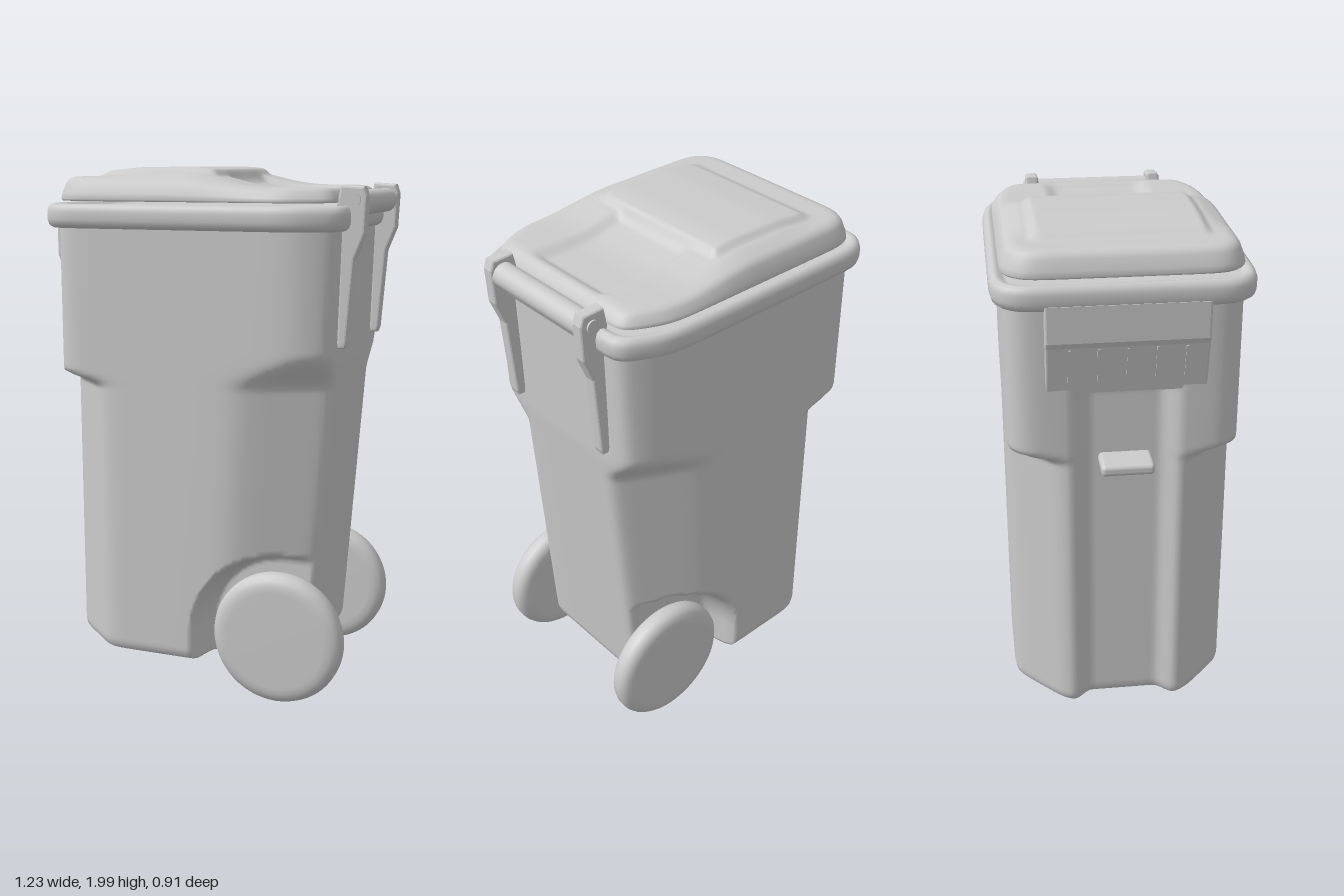
import * as THREE from 'three';
import { RoundedBoxGeometry } from 'three/addons/geometries/RoundedBoxGeometry.js';

const material = new THREE.MeshStandardMaterial({ color: 0xcccccc });
const { smoothstep, lerp, clamp } = THREE.MathUtils;

function add(parent, name, geometry, x = 0, y = 0, z = 0) {
  const mesh = new THREE.Mesh(geometry, material);
  mesh.name = name;
  mesh.position.set(x, y, z);
  parent.add(mesh);
  return mesh;
}

// Rounded outline bounded by the four sides and two pairs of corner planes.
// o: xMin, xMax, half width, front-corner distance, rear-corner distance
function outline([x0, x1, zh, frontCorner, rearCorner], offset, angle) {
  const c = Math.cos(angle), s = Math.abs(Math.sin(angle)), p = 32;
  const planes = [
    [-c, x0], [c, x1], [s, zh],
    [-0.68 * c + 0.733 * s, frontCorner],
    [0.447 * c + 0.894 * s, rearCorner],
  ];
  let sum = 0;
  for (const [along, d] of planes) if (along > 0) sum += (along / (d + offset)) ** p;
  const r = sum ** (-1 / p);
  return [r * c, r * Math.sin(angle)];
}

// Skin over horizontal rings, listed from the bottom upwards
function loft(rings, segments, pointAt) {
  const pos = [], index = [];
  rings.forEach((ring, j) => {
    for (let i = 0; i < segments; i++) {
      pos.push(...pointAt(ring, (i / segments) * Math.PI * 2));
      if (j === rings.length - 1) continue;
      const a = j * segments + i, b = j * segments + (i + 1) % segments;
      index.push(a, a + segments, b, b, a + segments, b + segments);
    }
  });
  const g = new THREE.BufferGeometry();
  g.setAttribute('position', new THREE.Float32BufferAttribute(pos, 3));
  g.setIndex(index);
  g.computeVertexNormals();
  return g;
}

function extrudeZ(points, depth, bevel) {
  const shape = new THREE.Shape(points.map(([x, y]) => new THREE.Vector2(x, y)));
  const g = new THREE.ExtrudeGeometry(shape, {
    depth: depth - 2 * bevel, bevelEnabled: bevel > 0, bevelSize: bevel,
    bevelThickness: bevel, bevelOffset: -bevel, bevelSegments: 3,
  });
  return g.translate(0, 0, -depth / 2 + bevel);
}

// Bin body: cut lower corners, front channel and wheel arches
function bodyPoint({ y, off = 0, k = 1 }, angle) {
  const upperF = smoothstep(y, 1.19, 1.245), upperR = smoothstep(y, 1.2, 1.35);
  const rear = y > 1.3 ? lerp(0.51, 0.525, (y - 1.3) / 0.5) : lerp(0.42, 0.51, (y - 0.14) / 1.16);
  let [x, z] = outline(
    [0.56, rear, 0.415, lerp(0.545, 0.645, upperF),
      lerp(lerp(0.425, 0.45, clamp(y / 1.2, 0, 1)), 0.545, upperR)], off, angle);
  if (x < -0.3) {
    x += 0.055 * (1 - smoothstep(Math.abs(z), 0.12, 0.2)) * (1 - smoothstep(y, 1.45, 1.55));
  }
  const d = Math.hypot(Math.min(0, x - 0.33), Math.max(0, y - 0.26));
  const limit = lerp(0.265, 0.43, smoothstep(d, 0.285, 0.345));
  z = clamp(z, -limit, limit);
  return [x * k, y, z * k];
}

function bodyGeometry() {
  const rings = [{ y: 0.14, off: -0.035, k: 0 }, { y: 0.14, off: -0.035 },
    { y: 0.147, off: -0.015 }, { y: 0.16, off: -0.004 }];
  for (let i = 0; i <= 110; i++) rings.push({ y: lerp(0.18, 1.82, i / 110) });
  return loft(rings, 240, bodyPoint);
}

// Rolled rim, closed inside beneath the lid
function rimGeometry() {
  const o = [0.6, 0.555, 0.455, 0.69, 0.58];
  const profile = [[-0.06, 1.785], [-0.02, 1.78], [-0.006, 1.79], [0, 1.81], [0, 1.84],
    [-0.006, 1.858], [-0.02, 1.868], [-0.035, 1.866], [-0.045, 1.855], [-0.06, 1.85], [-0.06, 1.85, 0]];
  return loft(profile, 144, ([off, y, k = 1], a) => {
    const [x, z] = outline(o, off, a);
    return [x * k, y, z * k];
  });
}

// Lid: raised front panel, falling towards a sunken rear panel
function lidHeight(x, z) {
  const w = Math.abs(z);
  const base = lerp(1.965, 1.93, smoothstep(x, -0.05, 0.3));
  const panel = smoothstep(x, -0.42, -0.36) * (1 - smoothstep(x, 0.045, 0.075));
  const shoulder = smoothstep(x, -0.42, -0.2) * (1 - smoothstep(x, 0.0, 0.22));
  const dip = smoothstep(x, 0.055, 0.1) * (1 - smoothstep(x, 0.42, 0.47)) * (1 - smoothstep(w, 0.15, 0.21));
  return base + 0.02 * panel * (1 - smoothstep(w, 0.28, 0.32))
    + 0.015 * shoulder * (1 - smoothstep(w, 0.32, 0.38)) - 0.022 * dip;
}

function lidGeometry() {
  const o = [0.555, 0.51, 0.42, 0.635, 0.535];
  // offset, share of the lid height, scale
  const rings = [[-0.06, 0, 0], [-0.06, 0], [-0.005, 0], [0, 0.08], [-0.004, 0.3], [-0.018, 0.72],
    [-0.03, 0.9], [-0.045, 0.97], [-0.06, 1]];
  for (let i = 1; i <= 50; i++) rings.push([-0.06, 1, 1 - i / 50]);
  return loft(rings, 200, ([off, h, k = 1], a) => {
    const [x, z] = outline(o, off, a);
    return [x * k, lerp(1.878, lidHeight(x * k, z * k), h), z * k];
  });
}

function wheelGeometry() {
  const half = [[0.254, 0.012], [0.248, 0.028], [0.235, 0.041], [0.215, 0.048], [0.19, 0.051], [0, 0.051]];
  const points = [...half.map(([r, h]) => [r, -h]).reverse(), ...half];
  return new THREE.LatheGeometry(points.map(([r, h]) => new THREE.Vector2(r, h)), 64).rotateX(Math.PI / 2);
}

export function createModel() {
  const bin = new THREE.Group();
  bin.name = 'wheeledBin';

  add(bin, 'body', bodyGeometry());
  add(bin, 'rim', rimGeometry());
  add(bin, 'lid', lidGeometry());

  // Front grip panel with slanted ribs, and the catch bar in the channel
  add(bin, 'frontPanel', extrudeZ(
    [[-0.5, 1.47], [-0.557, 1.47], [-0.592, 1.65], [-0.6, 1.67], [-0.6, 1.8], [-0.5, 1.8]], 0.56, 0.008));
  for (let i = 0; i < 5; i++) {
    const rib = add(bin, 'panelRib', new THREE.BoxGeometry(0.012, 0.13, 0.008), -0.576, 1.58, -0.2 + i * 0.1);
    rib.rotation.z = 0.19;
  }
  add(bin, 'catchBar', new RoundedBoxGeometry(0.13, 0.042, 0.19, 3, 0.016), -0.555, 1.191, 0);

  // Rear handle
  const bracket = extrudeZ([[0.5, 1.87], [0.515, 1.94], [0.6, 1.935], [0.612, 1.9], [0.606, 1.77],
    [0.57, 1.68], [0.547, 1.38], [0.54, 1.36], [0.515, 1.36], [0.51, 1.38], [0.515, 1.8]], 0.05, 0.01);
  const grip = new THREE.CylinderGeometry(0.045, 0.045, 0.46, 32).rotateX(Math.PI / 2);
  add(bin, 'handleGrip', grip, 0.562, 1.875, 0);

  const boss = new THREE.CylinderGeometry(0.024, 0.024, 0.01, 24).rotateX(Math.PI / 2);
  const wheel = wheelGeometry();
  for (const [side, s] of [['left', 1], ['right', -1]]) {
    add(bin, side + 'HandleBracket', bracket, 0, 0, s * 0.245);
    add(bin, side + 'HandlePivot', boss, 0.565, 1.89, s * 0.272);
    add(bin, side + 'Wheel', wheel, 0.325, 0.26, s * 0.342);
  }
  add(bin, 'axle', new THREE.CylinderGeometry(0.03, 0.03, 0.64, 24).rotateX(Math.PI / 2), 0.325, 0.26, 0);
  return bin;
}
